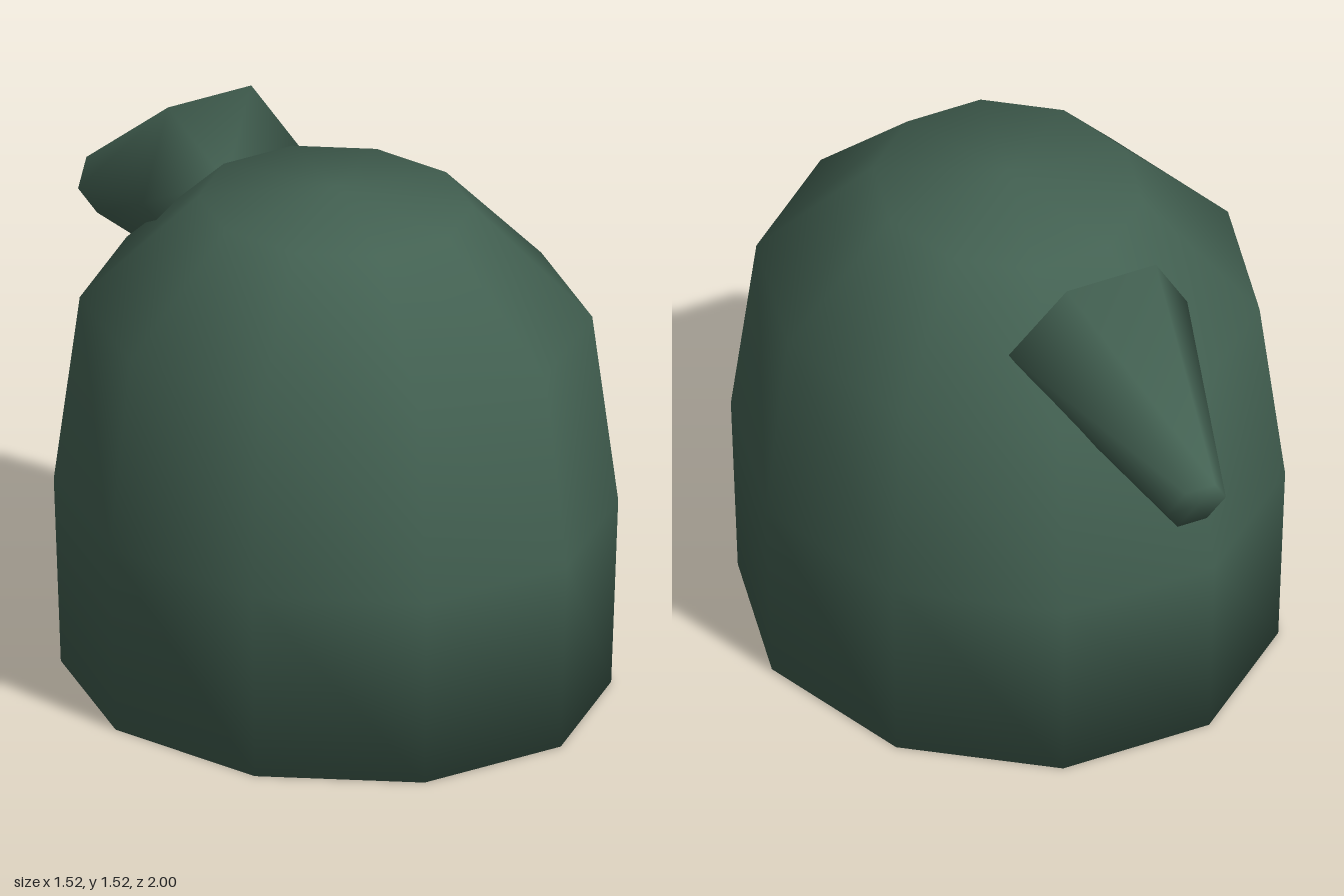
import * as THREE from 'three';

// Closed smooth solid from rings [y, rx, rz] between a bottom and a top centre point
function loft(rings, sides, bottomY, topY) {
  const pos = [0, bottomY, 0];
  const index = [];
  for (const [y, rx, rz] of rings) {
    for (let i = 0; i < sides; i++) {
      const a = (i / sides) * Math.PI * 2;
      pos.push(rx * Math.cos(a), y, rz * Math.sin(a));
    }
  }
  const top = pos.length / 3;
  pos.push(0, topY, 0);
  const id = (r, i) => 1 + r * sides + (i % sides);
  const last = rings.length - 1;
  for (let i = 0; i < sides; i++) {
    index.push(0, id(0, i), id(0, i + 1));
    for (let r = 0; r < last; r++) {
      index.push(id(r, i), id(r + 1, i), id(r + 1, i + 1));
      index.push(id(r, i), id(r + 1, i + 1), id(r, i + 1));
    }
    index.push(id(last, i), top, id(last, i + 1));
  }
  const geo = new THREE.BufferGeometry();
  geo.setAttribute('position', new THREE.Float32BufferAttribute(pos, 3));
  geo.setIndex(index);
  geo.computeVertexNormals();
  return geo;
}

export function createModel() {
  const group = new THREE.Group();
  const green = new THREE.MeshStandardMaterial({ color: 0x436152 });
  green.name = 'dark green';

  // Ten-sided domed body, slightly longer than wide
  const profile = [[0, 0.975], [0.555, 1], [1.11, 0.908], [1.432, 0.487]];
  const rings = profile.map(([y, s]) => [y, 0.76 * s, 0.852 * s]);
  const body = new THREE.Mesh(loft(rings, 10, 0, 1.478), green);
  body.name = 'body';
  body.position.z = 0.19;
  group.add(body);

  // Six-sided tapering spout, sloping down towards the back
  const length = 0.646;
  const spout = new THREE.Mesh(
    loft([[0, 0.28, 0.28], [length, 0.092, 0.092]], 6, 0, length), green);
  spout.name = 'spout';
  spout.position.set(0, 1.294, -0.365);
  spout.rotation.x = -1.917;
  group.add(spout);

  return group;
}
